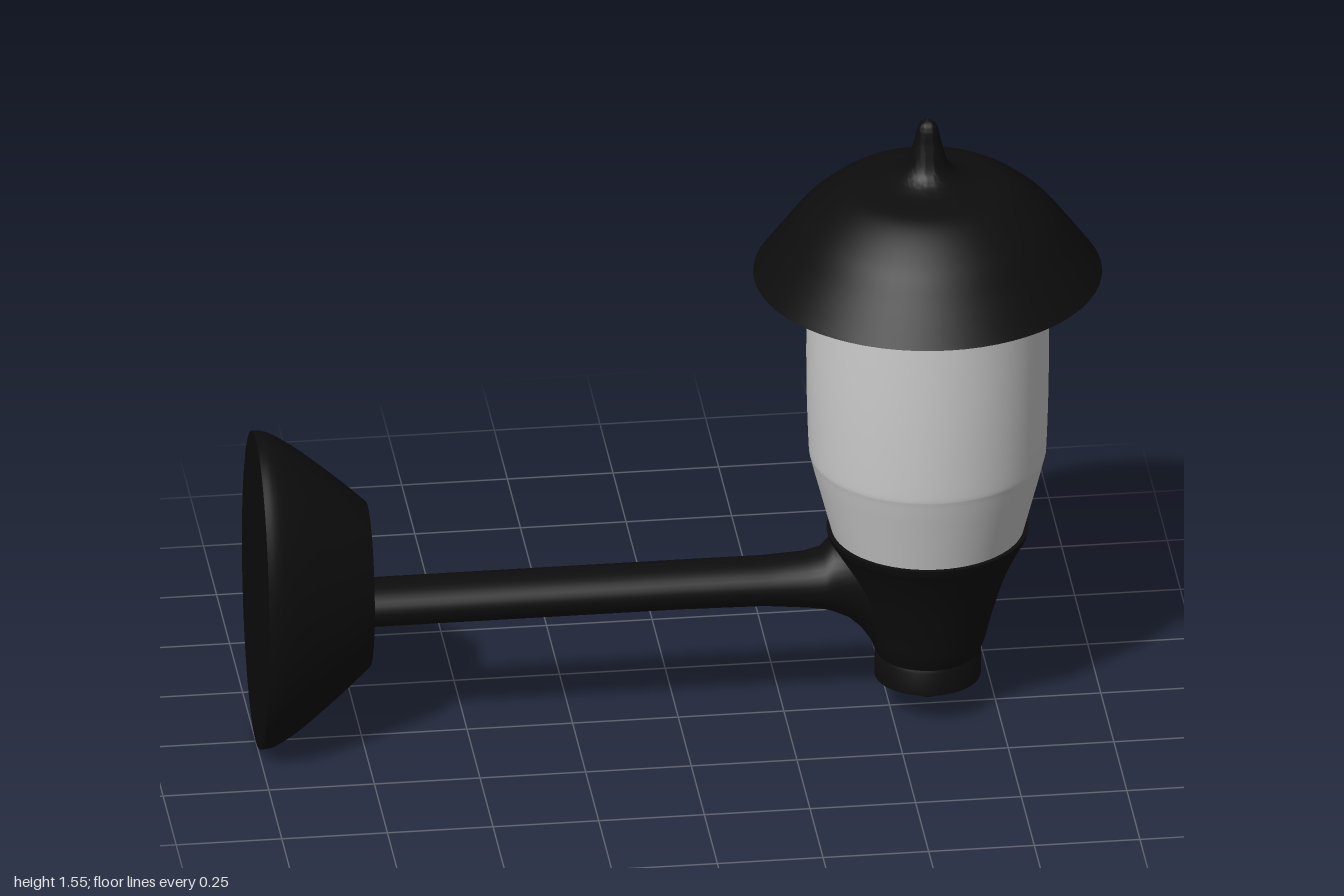
import * as THREE from 'three';
import { toCreasedNormals } from 'three/addons/utils/BufferGeometryUtils.js';

const LAMP_X = 0.59;
const black = new THREE.MeshStandardMaterial({ color: 0x0d0d0d });
const blackThin = new THREE.MeshStandardMaterial({ color: 0x0d0d0d, side: THREE.DoubleSide });
const glass = new THREE.MeshStandardMaterial({ color: 0xcccccc, side: THREE.DoubleSide });

const vecs = (pts) => pts.map(([r, y]) => new THREE.Vector2(r, y));
const smooth = (pts, n) => new THREE.SplineCurve(vecs(pts)).getPoints(n)
  .map((p) => new THREE.Vector2(Math.max(p.x, 0), p.y));
const lathe = (points) => toCreasedNormals(new THREE.LatheGeometry(points, 64), 0.6);

// Elliptical tube along x through sections [x, top, bottom, halfDepth]
function loft(sections, n = 32) {
  const pos = [], index = [];
  sections.forEach(([x, top, bottom, depth], i) => {
    for (let j = 0; j < n; j++) {
      const a = (j / n) * Math.PI * 2;
      pos.push(x, (top + bottom) / 2 + ((top - bottom) / 2) * Math.cos(a), depth * Math.sin(a));
      if (i === sections.length - 1) continue;
      const p = i * n + j, q = i * n + ((j + 1) % n);
      index.push(p, q, p + n, q, q + n, p + n);
    }
  });
  const g = new THREE.BufferGeometry();
  g.setAttribute('position', new THREE.Float32BufferAttribute(pos, 3));
  g.setIndex(index);
  g.computeVertexNormals();
  return g;
}

export function createModel() {
  const group = new THREE.Group();
  const add = (name, geometry, material, x = 0, y = 0) => {
    const mesh = new THREE.Mesh(geometry, material);
    mesh.name = name;
    mesh.position.set(x, y, 0);
    group.add(mesh);
  };

  // Oval wall plate: a turned dome laid along x and narrowed in depth
  const plate = new THREE.LatheGeometry([
    new THREE.Vector2(0, -1),
    ...smooth([[0.4, -1], [0.394, -0.965], [0.352, -0.9], [0.268, -0.8], [0.207, -0.735]], 16),
    new THREE.Vector2(0, -0.735),
  ], 64);
  plate.rotateZ(-Math.PI / 2).scale(1, 1, 0.66);
  add('wallPlate', toCreasedNormals(plate, 0.6), black, 0, 0.4);

  // Arm, flaring where it runs into the cup
  add('arm', loft([
    [-0.75, 0.405, 0.297, 0.073], [0, 0.405, 0.297, 0.073], [0.2, 0.405, 0.293, 0.073],
    [0.3, 0.411, 0.282, 0.076], [0.34, 0.422, 0.275, 0.08], [0.362, 0.447, 0.268, 0.085],
    [0.4, 0.45, 0.25, 0.09], [0.43, 0.45, 0.22, 0.092], [0.45, 0.45, 0.19, 0.092], [0.465, 0.45, 0.16, 0.09],
  ]), black);

  // Cup holding the glass, with a thin lip
  add('cup', lathe([
    new THREE.Vector2(0, 0.14),
    ...smooth([[0.118, 0.14], [0.135, 0.18], [0.15, 0.24], [0.18, 0.34], [0.215, 0.42], [0.234, 0.453]], 20),
    ...vecs([[0.238, 0.47], [0, 0.47]]),
  ]), black, LAMP_X);

  // Collar and small nub underneath
  add('collar', lathe(vecs([[0, 0.083], [0.125, 0.083], [0.125, 0.14], [0.118, 0.155], [0, 0.155]])), black, LAMP_X);
  add('bottomNub', lathe(vecs([[0, 0.028], [0.024, 0.028], [0.026, 0.06], [0.036, 0.09], [0, 0.09]])), black, LAMP_X);

  // Glass shade, reaching up inside the roof
  add('glassShade', lathe(smooth([
    [0.224, 0.46], [0.25, 0.56], [0.274, 0.655], [0.28, 0.7], [0.285, 0.9], [0.282, 1.15], [0.27, 1.28],
  ], 30)), glass, LAMP_X);

  // Hollow roof with finial
  add('roof', lathe(smooth([
    [0.41, 1.145], [0.35, 1.228], [0.29, 1.303], [0.2, 1.37], [0.1, 1.392],
    [0.055, 1.42], [0.034, 1.48], [0.022, 1.53], [0, 1.548],
  ], 56)), blackThin, LAMP_X);

  return group;
}
